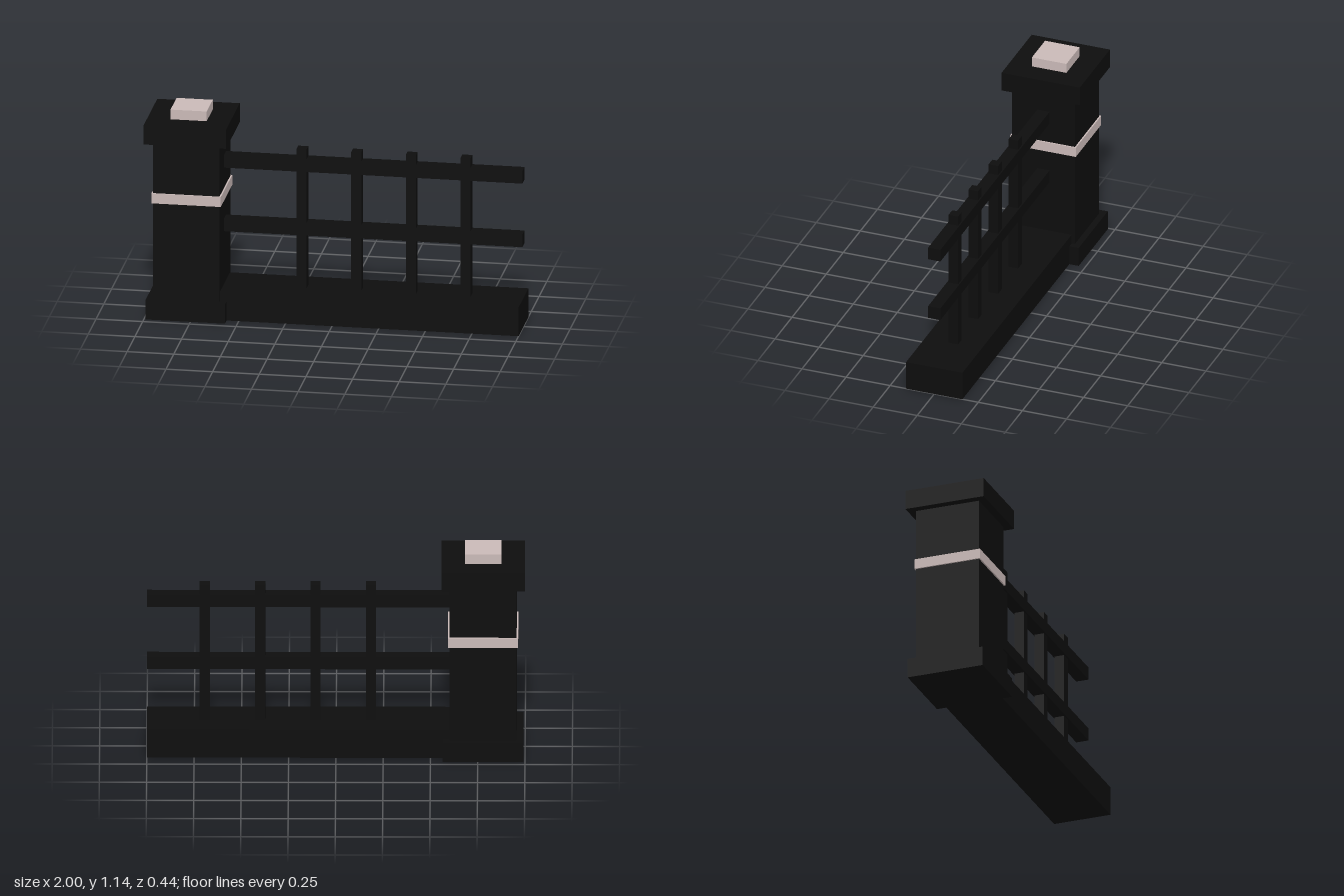
import * as THREE from 'three';

export function createModel() {
  const model = new THREE.Group();
  model.name = 'fenceSection';
  const black = new THREE.MeshStandardMaterial({ name: 'black', color: 0x0d0d0d });
  const stone = new THREE.MeshStandardMaterial({ name: 'paleStone', color: 0xc9b9b7 });

  // Box given by its x and y extents and its half depth in z
  function block(name, x0, x1, y0, y1, halfZ, material) {
    const mesh = new THREE.Mesh(new THREE.BoxGeometry(x1 - x0, y1 - y0, halfZ * 2), material);
    mesh.position.set((x0 + x1) / 2, (y0 + y1) / 2, 0);
    mesh.name = name;
    model.add(mesh);
  }

  // Pillar
  block('pillarBase', -0.991, -0.565, 0, 0.108, 0.213, black);
  block('pillarShaft', -0.956, -0.6, 0.108, 0.98, 0.178, black);
  block('pillarBand', -0.964, -0.592, 0.641, 0.696, 0.186, stone);
  block('pillarCap', -1, -0.558, 0.98, 1.086, 0.222, black);
  block('capPlate', -0.876, -0.682, 1.086, 1.14, 0.098, stone);

  // Low wall
  block('lowWall', -0.62, 1, 0, 0.16, 0.16, black);

  // Horizontal rails
  for (const y of [0.455, 0.81]) block('rail', -0.62, 1, y, y + 0.07, 0.035, black);

  // Upright bars
  for (let i = 0; i < 4; i++) {
    const x = -0.185 + i * 0.293;
    block('upright', x - 0.027, x + 0.027, 0.15, 0.934, 0.027, black);
  }
  return model;
}
